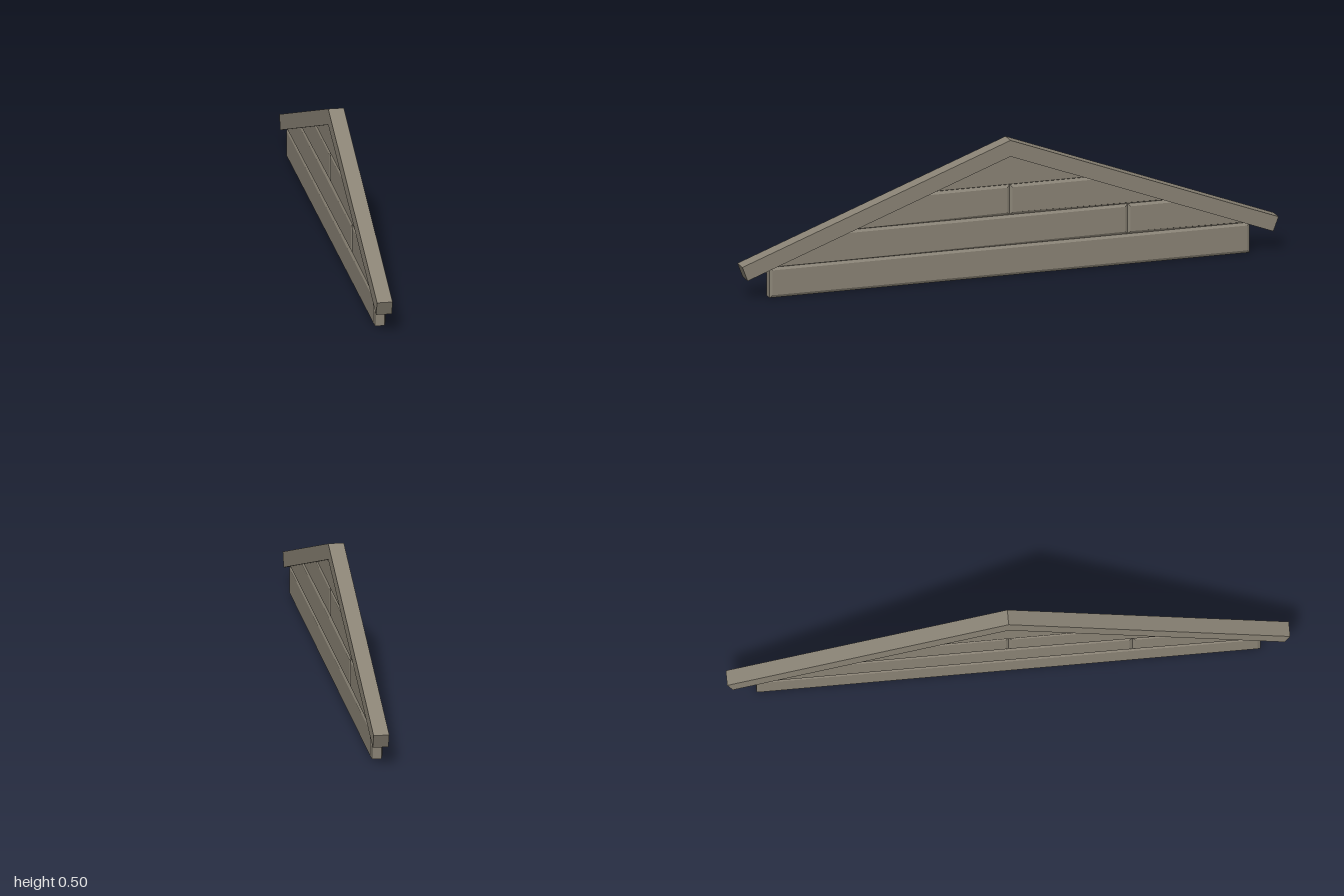
import * as THREE from 'three';

const SLOPE = 0.375;   // roof pitch
const ROW = 0.1115;    // board height
const HALF = 0.022;    // half the wall thickness
const BEVEL = 0.01;    // width of the chamfer on a board
const CUT = 0.005;     // depth of the chamfer on a board

// Extrudes an outline of [z, y] points across x, between x0 and x1
function slab(points, x0, x1, bevelled) {
  const shape = new THREE.Shape(points.map(([z, y]) => new THREE.Vector2(z, y)));
  const cut = bevelled ? CUT : 0;
  const depth = x1 - x0 - 2 * cut;
  const geometry = new THREE.ExtrudeGeometry(shape, {
    depth,
    bevelEnabled: bevelled,
    bevelThickness: CUT,
    bevelSize: BEVEL,
    bevelOffset: -BEVEL,
    bevelSegments: 1,
  });
  geometry.translate(0, 0, -depth / 2);
  geometry.rotateY(-Math.PI / 2);
  geometry.translate((x0 + x1) / 2, 0, 0);
  return geometry;
}

export function createModel() {
  const group = new THREE.Group();
  group.name = 'gable';
  const wood = new THREE.MeshStandardMaterial({ color: 0x8b8476 });
  wood.name = 'weathered wood';

  const add = (name, geometry) => {
    const mesh = new THREE.Mesh(geometry, wood);
    mesh.name = name;
    group.add(mesh);
    return mesh;
  };

  // Half length of the wall at a height; the sloped ends run inside the trim
  const reach = (y) => (0.478 - y) / SLOPE;
  const row = (i) => [i * ROW, (i + 1) * ROW];

  // Bottom beam
  add('bottomBoard', slab([[-0.895, 0], [0.895, 0], [0.895, ROW], [-0.895, ROW]], -HALF, HALF, true));

  // Second row: the joint is off centre, turned half round on the other face
  const [a, b] = row(1);
  const joint = -0.44;
  for (const turn of [0, Math.PI]) {
    const long = slab([[joint, a], [reach(a), a], [reach(b), b], [joint, b]], 0, HALF, true);
    const short = slab([[-reach(a), a], [joint, a], [joint, b], [-reach(b), b]], 0, HALF, true);
    add('longBoard', long).rotation.y = turn;
    add('shortBoard', short).rotation.y = turn;
  }

  // Third row: two boards meeting in the middle
  const [c, d] = row(2);
  add('frontMiddleBoard', slab([[0, c], [reach(c), c], [reach(d), d], [0, d]], -HALF, HALF, true));
  add('backMiddleBoard', slab([[-reach(c), c], [0, c], [0, d], [-reach(d), d]], -HALF, HALF, true));

  // Triangular top board
  add('topBoard', slab([[-reach(d), d], [reach(d), d], [0, 0.478]], -HALF, HALF, true));

  // Sloping trim along both roof edges
  add('roofTrim', slab([
    [0, 0.5], [-1, 0.125], [-0.98, 0.073], [0, 0.4405], [0.98, 0.073], [1, 0.125],
  ], -0.028, 0.028, false));

  return group;
}
